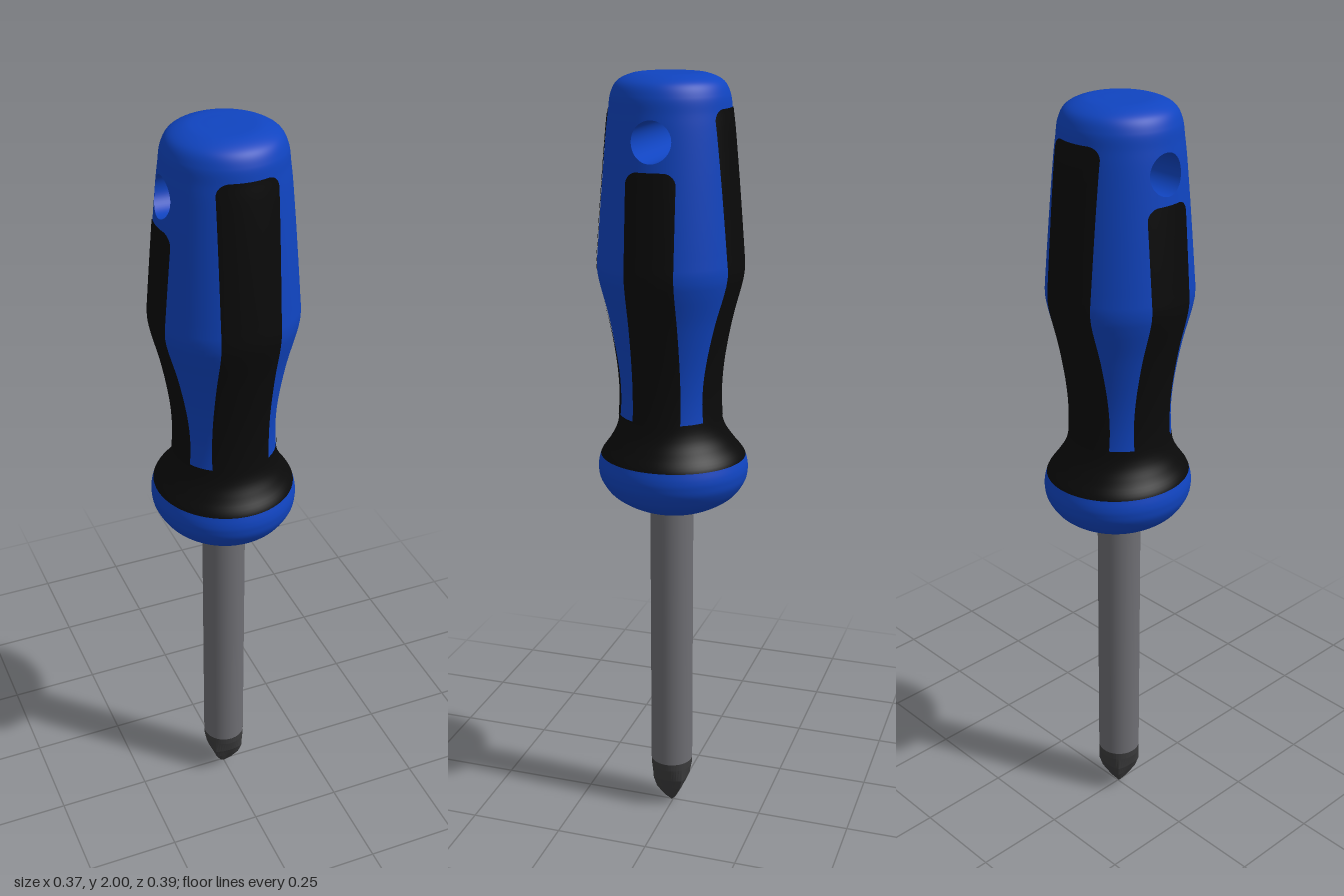
import * as THREE from 'three';

const SEG = 96;                 // facets around the handle
const WIN = 14;                 // facets along each side of the hole window
const HOLE = { y: 1.85, r: 0.05, y0: 1.79, y1: 1.91, a: (WIN / 2) * (2 * Math.PI / SEG) };

// Handle silhouette as (radius, height)
const profile = new THREE.SplineCurve([
  [.186, 1.0], [.18, 1.04], [.158, 1.075], [.14, 1.11], [.132, 1.15], [.13, 1.22], [.137, 1.3],
  [.155, 1.4], [.178, 1.49], [.184, 1.53], [.181, 1.58], [.168, 1.74], [.157, 1.86], [.151, 1.91],
  [.145, 1.95], [.128, 1.98], [.09, 1.997], [.045, 2], [0, 2],
].map(p => new THREE.Vector2(...p))).getPoints(360);

function radius(y) {
  let k = 1;
  while (k < profile.length - 1 && profile[k].y < y) k++;
  const a = profile[k - 1], b = profile[k];
  return a.x + (b.x - a.x) * (y - a.y) / (b.y - a.y);
}

// Point and normal on the handle skin; the neck turns slightly oval to meet the collar
function skin(a, y, lift = 0) {
  const r = radius(y);
  const slope = (radius(y + 0.004) - radius(y - 0.004)) / 0.008;
  const oval = 1 - THREE.MathUtils.smoothstep(y, 1.04, 1.15);
  const n = new THREE.Vector3(Math.sin(a), -slope, Math.cos(a)).normalize();
  const p = new THREE.Vector3(Math.sin(a) * r, y, Math.cos(a) * r * (1 + 0.05 * oval) + 0.007 * (1 - oval));
  return { p: p.addScaledVector(n, lift), n };
}

// Grid surface: f(i, j) gives { p, n }; i runs right and j runs up as seen from outside
function grid(nu, nv, f, skip = () => false) {
  const pos = [], nor = [], idx = [];
  for (let j = 0; j <= nv; j++) for (let i = 0; i <= nu; i++) {
    const { p, n } = f(i, j);
    pos.push(p.x, p.y, p.z);
    nor.push(n.x, n.y, n.z);
  }
  for (let j = 0; j < nv; j++) for (let i = 0; i < nu; i++) {
    if (skip(i, j)) continue;
    const a = j * (nu + 1) + i, b = a + 1, c = a + nu + 1, d = c + 1;
    idx.push(a, b, d, a, d, c);
  }
  const g = new THREE.BufferGeometry();
  g.setAttribute('position', new THREE.Float32BufferAttribute(pos, 3));
  g.setAttribute('normal', new THREE.Float32BufferAttribute(nor, 3));
  g.setIndex(idx);
  return g;
}

// Full band of handle skin between two heights
const band = (y0, y1, rows, skip) =>
  grid(SEG, rows, (i, j) => skin(i / SEG * 2 * Math.PI, y0 + (y1 - y0) * j / rows), skip);

// Walk the hole window: its square rim in (angle, height), and the round hole rim
function squareRim(i) {
  const side = Math.floor(i / WIN) % 4, t = (i % WIN) / WIN * 2 - 1;
  const [u, v] = [[1, t], [-t, 1], [-1, -t], [t, -1]][side];
  return [u * HOLE.a, HOLE.y + v * (HOLE.y1 - HOLE.y0) / 2];
}
function roundRim(i) {
  const th = (i / (4 * WIN)) * 2 * Math.PI - Math.PI / 4;
  const y = HOLE.y + HOLE.r * Math.sin(th);
  return [Math.asin(HOLE.r * Math.cos(th) / radius(y)), y];
}

// Rubber strip of constant width with rounded top corners
function strip(a0, halfWidth, top) {
  const corner = 0.03, y0 = 1.145, rows = 56, cols = 12;
  return grid(cols, rows, (i, j) => {
    const s = j / rows, y = y0 + (top - y0) * (1 - (1 - s) ** 2);
    const d = Math.max(0, corner - (top - y));
    const w = halfWidth - corner + Math.sqrt(Math.max(0, corner * corner - d * d));
    return skin(a0 + Math.asin(w * (i / cols * 2 - 1) / radius(y)), y, 0.002);
  });
}

export function createModel() {
  const model = new THREE.Group();
  model.name = 'screwdriver';
  const material = (name, color) => {
    const m = new THREE.MeshStandardMaterial({ color });
    m.name = name;
    return m;
  };
  const blue = material('blue plastic', 0x1044c0);
  const black = material('black rubber', 0x0a0a0a);
  const steel = material('grey steel', 0x6e6e73);
  const dark = material('dark steel', 0x3c3c3d);
  const add = (name, geometry, mat, parent = model) => {
    const mesh = new THREE.Mesh(geometry, mat);
    mesh.name = name;
    parent.add(mesh);
    return mesh;
  };

  // Handle body
  const handle = new THREE.Group();
  handle.name = 'handle';
  model.add(handle);
  add('neckGrip', band(1.04, 1.15, 14), black, handle);
  add('handleBody', band(1.15, HOLE.y0, 40), blue, handle);

  // Band with a window left open on each side for the hanging hole
  const nearSide = i => [SEG / 4, SEG * 3 / 4].some(c => i >= c - WIN / 2 && i < c + WIN / 2);
  add('handleHoleBand', band(HOLE.y0, HOLE.y1, WIN, nearSide), blue, handle);

  // Skin between the window and the round hole, on both sides
  for (const [name, a0] of [['leftHoleRim', Math.PI / 2], ['rightHoleRim', Math.PI * 1.5]]) {
    add(name, grid(4 * WIN, 4, (i, j) => {
      const [a, y] = squareRim(i), [b, v] = roundRim(i), t = j / 4;
      return skin(a0 + a + (b - a) * t, y + (v - y) * t);
    }), blue, handle);
  }

  // Wall of the hanging hole
  add('hangingHole', grid(4 * WIN, 1, (i, j) => {
    const [a, y] = roundRim(i), { p } = skin(Math.PI / 2 + a, y);
    if (j) p.x = -p.x;
    return { p, n: new THREE.Vector3(0, HOLE.y - y, 0.007 - p.z).normalize() };
  }), blue, handle);

  // Domed end
  const dome = [new THREE.Vector2(radius(HOLE.y1), HOLE.y1), ...profile.filter(p => p.y > HOLE.y1 + 0.001)];
  dome[dome.length - 1].x = 0;
  add('handleEnd', new THREE.LatheGeometry(dome, SEG), blue, handle).position.z = 0.007;

  // Rubber strips: long ones front and back, shorter ones below the hole
  ['front', 'left', 'back', 'right'].forEach((side, k) => {
    const onSide = k % 2 === 1;
    add(side + 'Grip', strip(k * Math.PI / 2, onSide ? 0.062 : 0.075, onSide ? 1.78 : 1.92), black, handle);
  });

  // Rounded collar
  const collar = new THREE.SplineCurve([
    [0, .885], [.06, .888], [.11, .905], [.155, .935], [.18, .972], [.186, 1.0], [.185, 1.02], [.18, 1.04],
  ].map(p => new THREE.Vector2(...p))).getPoints(40);
  add('collar', new THREE.LatheGeometry(collar, SEG), blue, handle).scale.z = 1.05;

  // Shaft
  const shaft = add('shaft', new THREE.CylinderGeometry(0.057, 0.057, 0.76, 48), steel);
  shaft.position.set(0, 0.52, 0.004);

  // Cross tip: rows of (height, radius, notch depth), ridges on the diagonals
  const rows = [[0, .002, 0], [.02, .022, .3], [.055, .047, .3], [.085, .057, .16], [.12, .057, .02], [.14, .057, 0]];
  const tip = grid(48, rows.length - 1, (i, j) => {
    const a = i / 48 * 2 * Math.PI, [y, r, depth] = rows[j];
    const d = r * (1 - depth * Math.abs(Math.cos(2 * a)));
    return { p: new THREE.Vector3(Math.sin(a) * d, y, Math.cos(a) * d), n: new THREE.Vector3(0, 1, 0) };
  }).toNonIndexed();
  tip.computeVertexNormals();
  add('crossTip', tip, dark).position.z = 0.004;

  return model;
}
